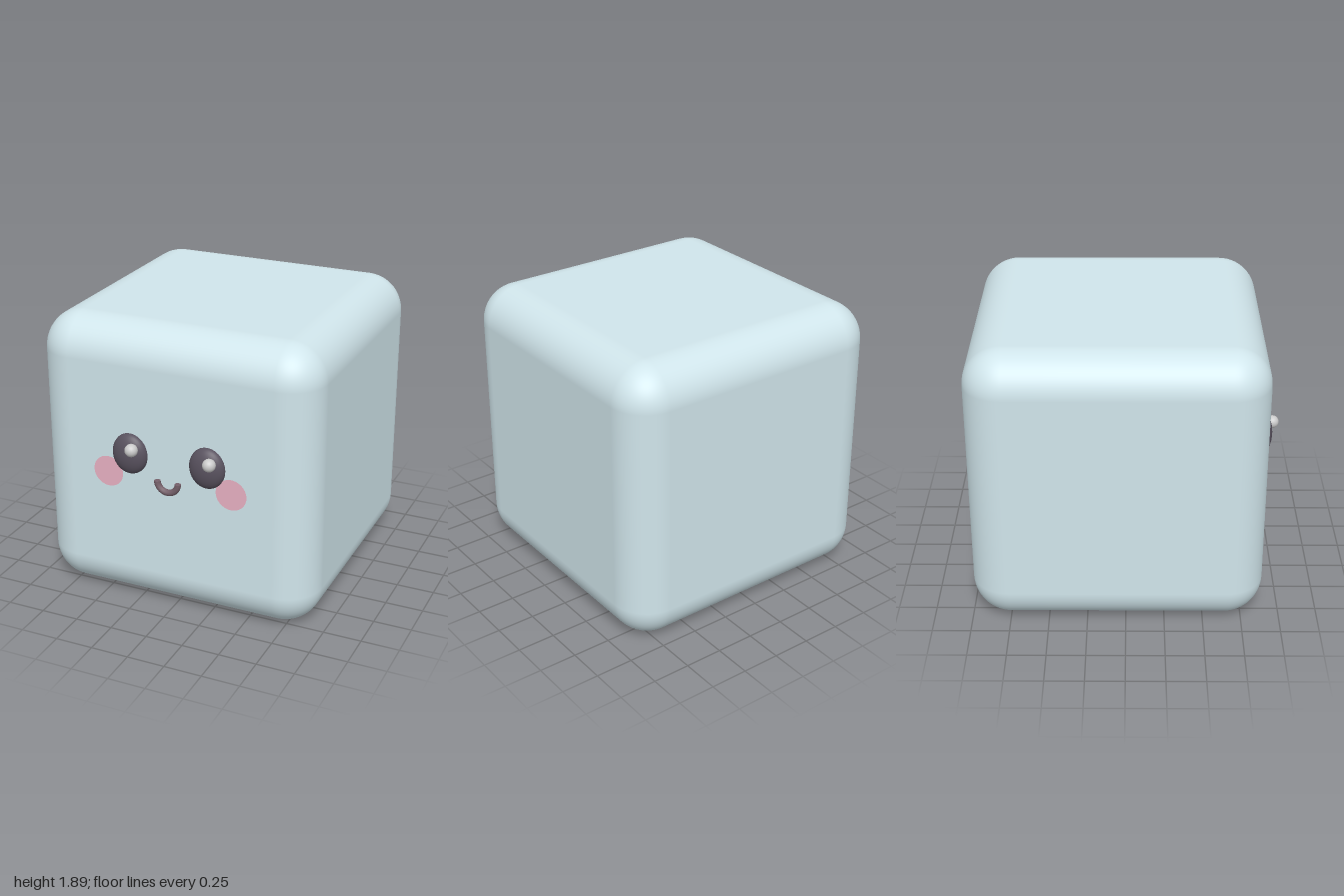
import * as THREE from 'three';
import { RoundedBoxGeometry } from 'three/addons/geometries/RoundedBoxGeometry.js';

export function createModel() {
  const group = new THREE.Group();
  const paint = (color, side = THREE.FrontSide) => new THREE.MeshStandardMaterial({ color, side });
  const bodyMat = paint(0xd0e5eb);
  const eyeMat = paint(0x59525f);
  const glintMat = paint(0xcccccc);
  const cheekMat = paint(0xe8b0c2, THREE.DoubleSide);
  const mouthMat = paint(0x75606a, THREE.DoubleSide);

  const add = (name, geometry, material, x, y, z) => {
    const mesh = new THREE.Mesh(geometry, material);
    mesh.name = name;
    mesh.position.set(x, y, z);
    group.add(mesh);
    return mesh;
  };

  // Rounded cube body, front face at z = 0.89
  const size = 1.887, front = 0.89;
  add('body', new RoundedBoxGeometry(size, size, size, 8, 0.25), bodyMat, 0, size / 2, front - size / 2);

  // Eyes, their highlights and cheeks; both highlights sit toward +x
  const eyeGeo = new THREE.SphereGeometry(1, 32, 24).scale(0.12, 0.136, 0.066);
  const glintGeo = new THREE.SphereGeometry(0.042, 24, 16);
  const cheekGeo = new THREE.CircleGeometry(0.103, 40);
  for (const [label, s] of [['left', 1], ['right', -1]]) {
    add(label + 'Eye', eyeGeo, eyeMat, s * 0.265, 1.066, front);
    add(label + 'EyeHighlight', glintGeo, glintMat, s * 0.265 + 0.042, 1.121, 0.958);
    add(label + 'Cheek', cheekGeo, cheekMat, s * 0.424, 0.914, front + 0.003);
  }

  // Smile: lower half of a ring, with flat ends
  const ringRadius = 0.071, tube = 0.021, mouthY = 0.924, mouthZ = 0.909;
  add('mouth', new THREE.TorusGeometry(ringRadius, tube, 12, 28, Math.PI), mouthMat, 0, mouthY, mouthZ).rotation.z = Math.PI;
  for (const s of [1, -1]) {
    add('mouthEnd', new THREE.CircleGeometry(tube, 12), mouthMat, s * ringRadius, mouthY, mouthZ).rotation.x = -Math.PI / 2;
  }

  return group;
}
